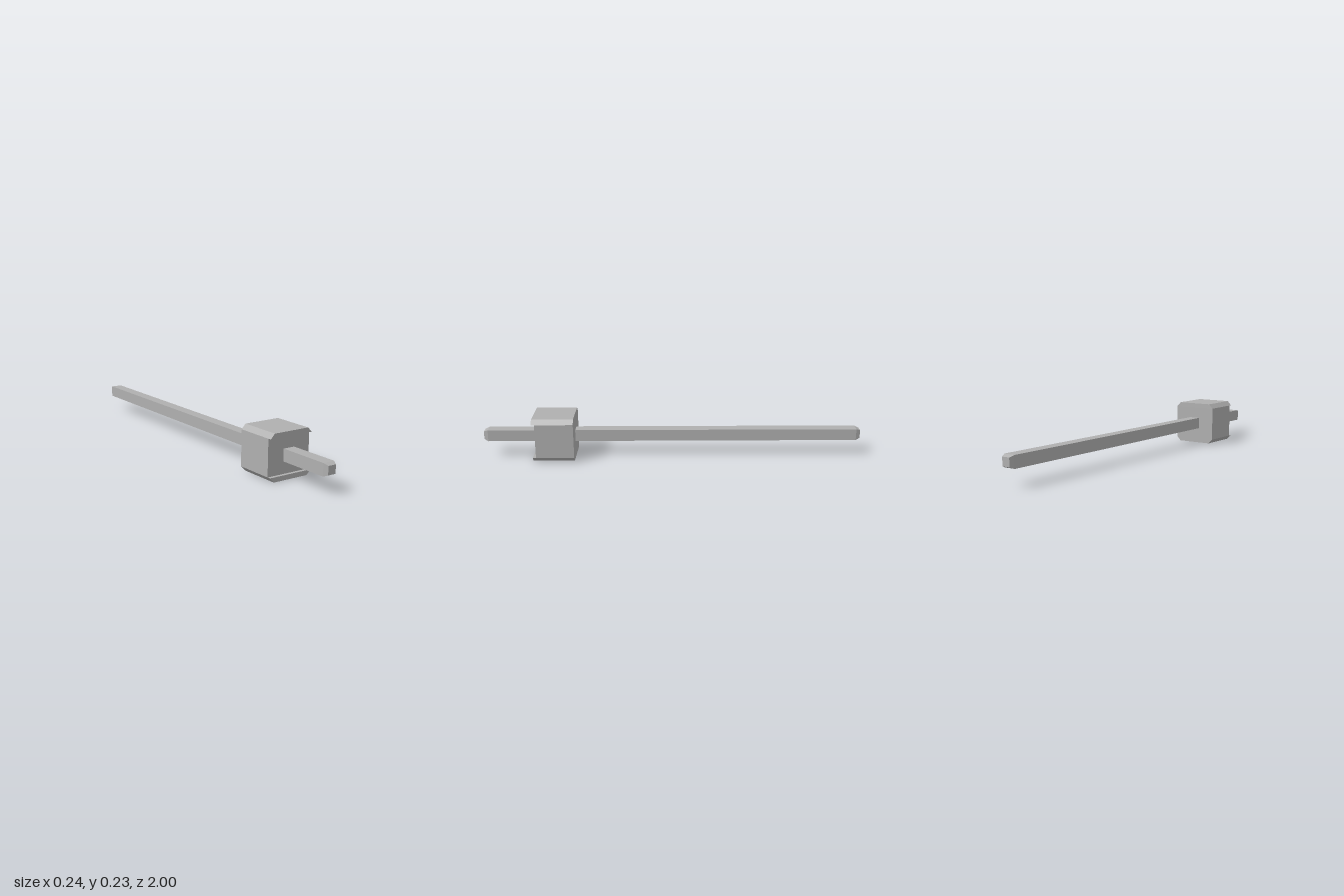
import * as THREE from 'three';

export function createModel() {
  const model = new THREE.Group();
  model.name = 'headerPin';
  const grey = new THREE.MeshStandardMaterial({ color: 0xb0b0b0 });
  grey.name = 'grey';

  const midY = 0.115, back = 0.515;
  const add = (geometry, name) => {
    const mesh = new THREE.Mesh(geometry, grey);
    mesh.name = name;
    model.add(mesh);
    return mesh;
  };

  // Square block around the pin
  add(new THREE.BoxGeometry(0.242, 0.182, 0.2), 'block').position.set(0, midY, back + 0.1);

  // Chamfered caps above and below, overhanging the front of the block
  for (const [side, name] of [[1, 'topCap'], [-1, 'bottomCap']]) {
    const inner = midY + side * 0.091, outer = midY + side * 0.115;
    const profile = new THREE.Shape([
      new THREE.Vector2(-0.121, inner), new THREE.Vector2(0.121, inner),
      new THREE.Vector2(0.098, outer), new THREE.Vector2(-0.098, outer),
    ]);
    const cap = new THREE.ExtrudeGeometry(profile, { depth: 0.217, bevelEnabled: false });
    add(cap, name).position.z = back;
  }

  // Long square pin with tapered tips at both ends
  const half = 0.0305, tip = 0.0215, taper = 0.022;
  const pin = new THREE.BoxGeometry(2 * half, 2 * half, 2, 1, 1, 3).toNonIndexed();
  const p = pin.attributes.position;
  for (let i = 0; i < p.count; i++) {
    const z = p.getZ(i);
    if (Math.abs(z) > 0.9) {
      p.setX(i, Math.sign(p.getX(i)) * tip);
      p.setY(i, Math.sign(p.getY(i)) * tip);
    } else {
      p.setZ(i, Math.sign(z) * (1 - taper));
    }
  }
  pin.computeVertexNormals();
  add(pin, 'pin').position.y = midY;

  return model;
}
